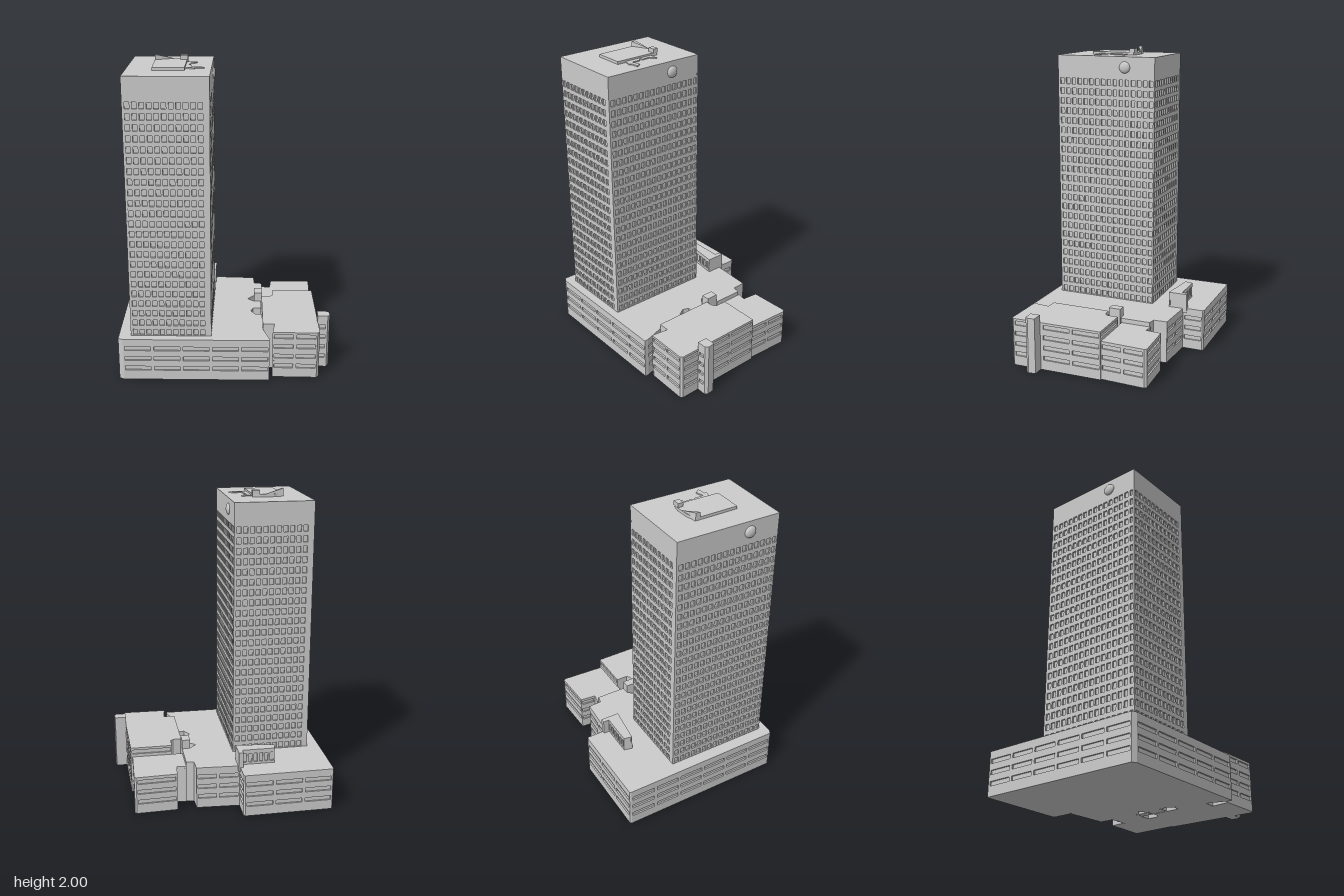
import * as THREE from 'three';
import { mergeGeometries } from 'three/addons/utils/BufferGeometryUtils.js';
import { ConvexGeometry } from 'three/addons/geometries/ConvexGeometry.js';

const material = new THREE.MeshStandardMaterial({ color: 0xcccccc });
const DEPTH = 0.01; // depth of the window recesses

function addMesh(parent, name, geometry) {
  const mesh = new THREE.Mesh(geometry, material);
  mesh.name = name;
  parent.add(mesh);
  return mesh;
}

// Upright prism over a footprint of [x, z] points
function prism(points, y0, y1) {
  const shape = new THREE.Shape(points.map(([x, z]) => new THREE.Vector2(x, z)));
  return new THREE.ExtrudeGeometry(shape, { depth: y1 - y0, bevelEnabled: false })
    .rotateX(Math.PI / 2).translate(0, y1, 0);
}

function rectangle(path, x0, y0, x1, y1) {
  return path.moveTo(x0, y0).lineTo(x1, y0).lineTo(x1, y1).lineTo(x0, y1).closePath();
}

const edgesOf = (points) => points.map((a, i) => {
  const b = points[(i + 1) % points.length];
  const dx = b[0] - a[0], dz = b[1] - a[1], length = Math.hypot(dx, dz);
  return { a, length, nx: -dz / length, nz: dx / length };
});

// Footprint moved inwards by d
function inset(points, d) {
  const edges = edgesOf(points);
  return points.map(([x, z], i) => {
    const e = edges[i], f = edges[(i + points.length - 1) % points.length];
    const k = d / (1 + e.nx * f.nx + e.nz * f.nz);
    return [x - k * (e.nx + f.nx), z - k * (e.nz + f.nz)];
  });
}

// Building block: pierced walls around a core, with a roof slab.
// windows(length) returns [x0, y0, x1, y1] openings along a wall.
function block(name, points, y0, y1, windows) {
  const group = new THREE.Group();
  group.name = name;
  const top = y1 - DEPTH;
  const walls = edgesOf(points).map(({ a, length, nx, nz }) => {
    const shape = rectangle(new THREE.Shape(), 0, y0, length, top);
    for (const w of windows(length)) shape.holes.push(rectangle(new THREE.Path(), ...w));
    return new THREE.ExtrudeGeometry(shape, { depth: DEPTH, bevelEnabled: false })
      .translate(0, 0, -DEPTH)
      .rotateY(Math.atan2(nx, nz))
      .translate(a[0], 0, a[1]);
  });
  addMesh(group, name + 'Walls', mergeGeometries(walls));
  addMesh(group, name + 'Core', prism(inset(points, DEPTH), y0, top));
  addMesh(group, name + 'Roof', prism(points, top, y1));
  return group;
}

// Long horizontal window bands
const bands = (rows) => (length) => {
  const list = [];
  if (length < 0.1) return list;
  const n = Math.max(1, Math.round(length / 0.185)), pitch = length / n;
  for (const y of rows) {
    for (let i = 0; i < n; i++) {
      list.push([i * pitch + 0.01, y - 0.014, (i + 1) * pitch - 0.01, y + 0.014]);
    }
  }
  return list;
};

// Regular grid of small tower windows
function towerWindows(length) {
  const list = [], columns = Math.floor(length / 0.0428);
  for (let row = 0; row < 23; row++) {
    for (let i = 0; i < columns; i++) {
      const x = 0.03 + i * 0.0428, y = 0.309 + row * 0.0668;
      list.push([x - 0.014, y - 0.02, x + 0.014, y + 0.02]);
    }
  }
  return list;
}

// Tall slots of the rooftop plant room
function tallSlots(length) {
  if (length < 0.15) return [];
  const pitch = length / 6;
  return Array.from({ length: 6 }, (_, i) =>
    [i * pitch + 0.007, 0.3, (i + 1) * pitch - 0.007, 0.36]);
}

// Small slots on the stair shaft
const shaftSlots = (length) => [0.08, 0.15, 0.22, 0.29].map((y) =>
  [0.013, y - 0.013, length - 0.013, y + 0.013]);

export function createModel() {
  const model = new THREE.Group();
  model.name = 'officeTower';

  // Podium with its ragged courtyard side
  model.add(block('podium', [
    [-0.65, 0.555], [0.28, 0.555], [0.28, 0.53], [0.24, 0.4], [0.24, 0.185],
    [0.195, 0.19], [0.165, 0.14], [0.18, 0.1], [0.235, 0.1], [0.235, -0.01],
    [0.19, -0.01], [0.145, -0.045], [0.19, -0.095], [0.245, -0.1], [0.245, -0.3],
    [0.195, -0.31], [0.19, -0.4], [-0.09, -0.415], [-0.09, -0.55], [-0.1, -0.56],
    [-0.675, -0.555], [-0.68, -0.545], [-0.68, 0.54],
  ], 0, 0.285, bands([0.08, 0.15, 0.22])));

  // Side wings
  model.add(block('frontWing', [
    [0.3, 0.51], [0.585, 0.515], [0.6, 0.5], [0.592, -0.108], [0.315, -0.108],
    [0.315, -0.03], [0.29, -0.012], [0.24, -0.01], [0.24, 0.395], [0.315, 0.395],
  ], 0, 0.32, bands([0.08, 0.15, 0.22, 0.29])));
  model.add(block('backWing', [
    [0.245, -0.105], [0.58, -0.105], [0.592, -0.4], [0.58, -0.415], [0.315, -0.405],
    [0.305, -0.3], [0.245, -0.31],
  ], 0, 0.255, bands([0.08, 0.15, 0.22])));

  // Stair shaft on the outer wall, courtyard shaft and plant room
  const shaft = [[0.595, 0.375], [0.66, 0.375], [0.675, 0.355], [0.67, 0.308], [0.595, 0.308]];
  model.add(block('stairShaft', shaft, 0, 0.37, (length) =>
    Math.abs(length - 0.065) < 0.001 ? shaftSlots(length) : []));
  addMesh(model, 'courtyardShaft',
    prism([[0.19, -0.015], [0.245, -0.015], [0.245, -0.095], [0.19, -0.095]], 0, 0.345));
  model.add(block('plantRoom', [
    [-0.335, -0.345], [-0.08, -0.315], [-0.08, -0.44], [-0.11, -0.44],
    [-0.11, -0.4], [-0.322, -0.4],
  ], 0.255, 0.387, tallSlots));

  // Tower
  model.add(block('tower', [
    [-0.603, 0.5], [-0.09, 0.5], [-0.085, -0.195], [-0.598, -0.19],
  ], 0.27, 1.95, towerWindows));

  // Domed discs near the top of both long sides
  for (const [name, x, z] of [['leftDome', -0.088, 0.015], ['rightDome', -0.602, 0.3]]) {
    const dome = addMesh(model, name, new THREE.SphereGeometry(0.038, 24, 16));
    dome.scale.x = 0.5;
    dome.position.set(x, 1.88, z);
  }

  // Rooftop equipment
  addMesh(model, 'roofSlab', prism([
    [-0.44, 0.315], [-0.245, 0.315], [-0.245, 0.04], [-0.24, 0.015],
    [-0.29, 0.005], [-0.38, 0.01], [-0.445, 0.035],
  ], 1.945, 1.968));
  addMesh(model, 'roofWedge', new ConvexGeometry([
    [-0.445, 1.95, 0.062], [-0.445, 1.95, 0.025], [-0.33, 1.95, 0.008], [-0.33, 1.97, 0.008],
    [-0.445, 2, 0.058], [-0.445, 2, 0.03],
  ].map((p) => new THREE.Vector3(...p))));
  addMesh(model, 'roofBox', new THREE.BoxGeometry(0.048, 0.028, 0.035))
    .position.set(-0.264, 1.98, 0.025);
  addMesh(model, 'roofPipes', prism([
    [-0.245, 0.255], [-0.19, 0.27], [-0.185, 0.255], [-0.13, 0.25], [-0.155, 0.215],
    [-0.21, 0.232], [-0.212, 0.17], [-0.24, 0.155], [-0.215, 0.145], [-0.22, 0.09],
    [-0.205, 0.09], [-0.18, 0.06], [-0.245, 0.06],
  ], 1.945, 1.957));

  return model;
}
